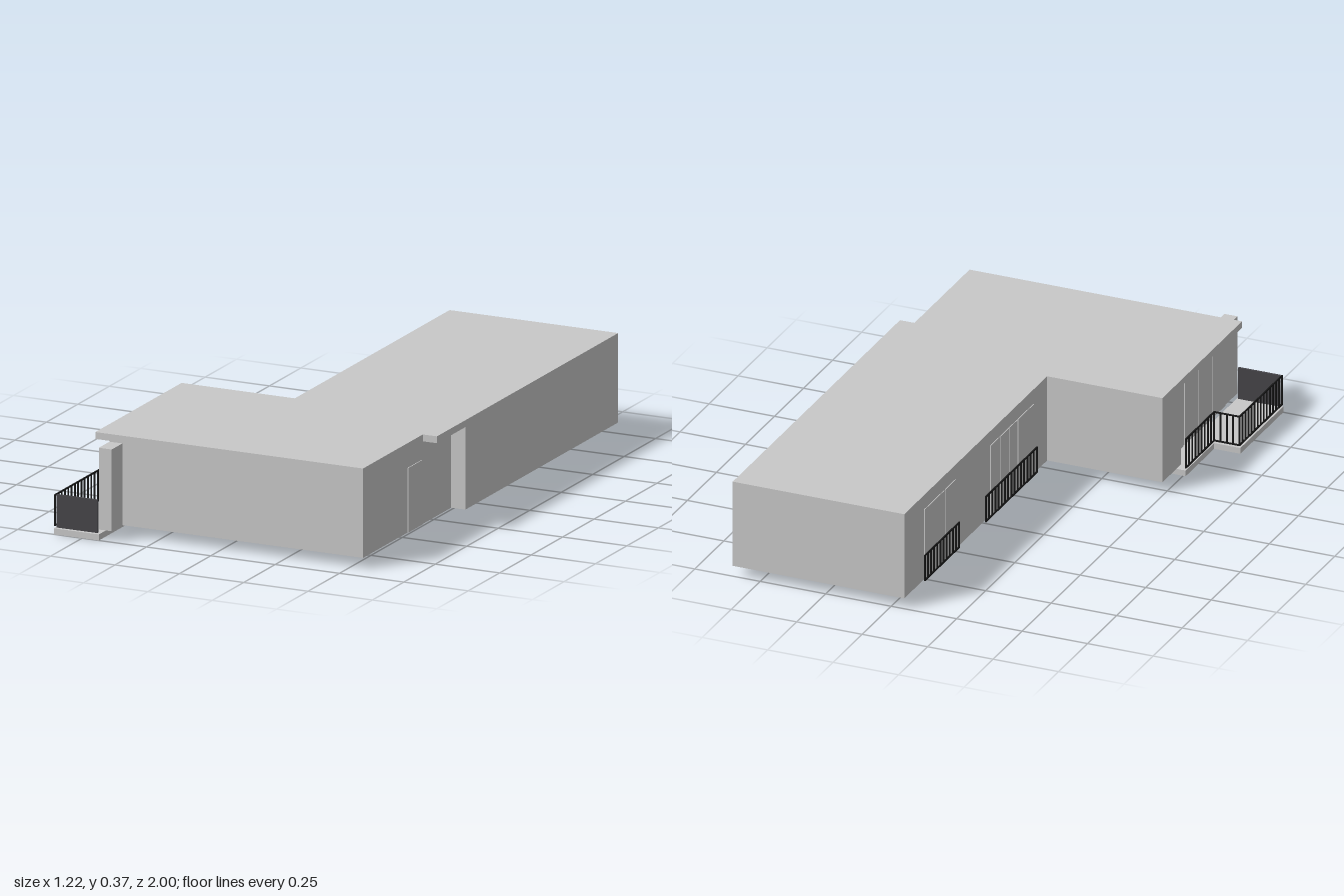
import * as THREE from 'three';

const paint = (name, color) => Object.assign(new THREE.MeshStandardMaterial({ color }), { name });

export function createModel() {
  const model = new THREE.Group();
  model.name = 'building';
  const plaster = paint('grey plaster', 0xc8c8c8);
  const metal = paint('black metal', 0x161616);
  const panel = paint('dark panel', 0x454448);
  const floor = paint('brown floor', 0x766c6a);

  // Box given by its limits on each axis
  const block = (name, x0, x1, y0, y1, z0, z1, mat = plaster, parent = model) => {
    const mesh = new THREE.Mesh(new THREE.BoxGeometry(x1 - x0, y1 - y0, z1 - z0), mat);
    mesh.position.set((x0 + x1) / 2, (y0 + y1) / 2, (z0 + z1) / 2);
    mesh.name = name;
    parent.add(mesh);
  };

  // Plan outline [x, z] raised between two heights
  const slab = (name, plan, y0, y1, mat = plaster) => {
    const shape = new THREE.Shape(plan.map(([x, z]) => new THREE.Vector2(x, -z)));
    const geo = new THREE.ExtrudeGeometry(shape, { depth: y1 - y0, bevelEnabled: false });
    const mesh = new THREE.Mesh(geo.rotateX(-Math.PI / 2), mat);
    mesh.position.y = y0;
    mesh.name = name;
    model.add(mesh);
  };

  // Walls with the porch and loggia cut back, and the roof over them
  slab('walls', [[-0.05, -1], [0.605, -1], [0.605, 0.215], [0.55, 0.215], [0.55, 0.915],
    [-0.435, 0.915], [-0.435, 0.39], [-0.49, 0.39], [-0.49, 0.23], [-0.05, 0.23]], 0.04, 0.34);
  slab('roof', [[-0.05, -1], [0.605, -1], [0.605, 0.44], [0.55, 0.44], [0.55, 0.915],
    [-0.49, 0.915], [-0.49, 0.23], [-0.05, 0.23]], 0.34, 0.365);
  block('frontPier', -0.435, -0.385, 0.04, 0.337, 0.915, 1);

  // Floor underside with lighter openings
  slab('floor', [[-0.03, -0.98], [0.585, -0.98], [0.585, 0.195], [0.53, 0.195], [0.53, 0.895],
    [-0.42, 0.895], [-0.42, 0.25], [-0.03, 0.25]], 0.037, 0.04, floor);
  [[0.42, 0.585, -0.93, -0.57], [0.42, 0.57, -0.5, 0.09], [0.21, 0.28, -0.51, -0.44],
    [0.21, 0.28, 0.26, 0.33], [0.34, 0.42, 0.83, 0.895]]
    .forEach(([x0, x1, z0, z1]) => block('floorOpening', x0, x1, 0.036, 0.037, z0, z1));

  // Side door
  block('door', 0.55, 0.553, 0.04, 0.275, 0.45, 0.562);

  // Tall windows behind the railings
  [[-0.83, -0.66], [-0.65, -0.56], [-0.26, -0.18], [-0.175, -0.1], [-0.095, -0.03], [-0.025, 0.11]]
    .forEach(([z0, z1]) => block('window', -0.053, -0.05, 0.04, 0.31, z0, z1));
  for (let i = 0; i < 4; i++) {
    block('loggiaWindow', -0.438, -0.435, 0.04, 0.31, 0.42 + i * 0.12, 0.53 + i * 0.12);
  }

  // Terrace
  slab('terrace', [[-0.51, 0.385], [-0.415, 0.385], [-0.415, 0.785], [-0.435, 0.785],
    [-0.435, 1], [-0.61, 1], [-0.61, 0.63], [-0.51, 0.63]], 0, 0.022);

  // Railing along x or z: two rails and evenly spaced bars
  const railing = (x0, z0, x1, z1, y0, y1) => {
    const group = new THREE.Group();
    group.name = 'railing';
    const t = 0.0025;
    for (const y of [y0 + t, y1 - t]) {
      block('rail', x0 - t, x1 + t, y - t, y + t, z0 - t, z1 + t, metal, group);
    }
    const n = Math.max(2, Math.round(Math.hypot(x1 - x0, z1 - z0) / 0.027));
    for (let i = 0; i <= n; i++) {
      const x = x0 + (x1 - x0) * i / n, z = z0 + (z1 - z0) * i / n;
      block('bar', x - t, x + t, y0, y1, z - t, z + t, metal, group);
    }
    model.add(group);
  };
  railing(-0.062, -0.85, -0.062, -0.555, 0.045, 0.145);
  railing(-0.062, -0.325, -0.062, 0.115, 0.045, 0.145);
  railing(-0.607, 0.63, -0.607, 0.995, 0.03, 0.145);
  railing(-0.607, 0.63, -0.51, 0.63, 0.03, 0.145);
  railing(-0.51, 0.388, -0.51, 0.63, 0.03, 0.145);
  block('terraceScreen', -0.602, -0.442, 0.025, 0.145, 0.988, 0.996, panel);

  return model;
}
